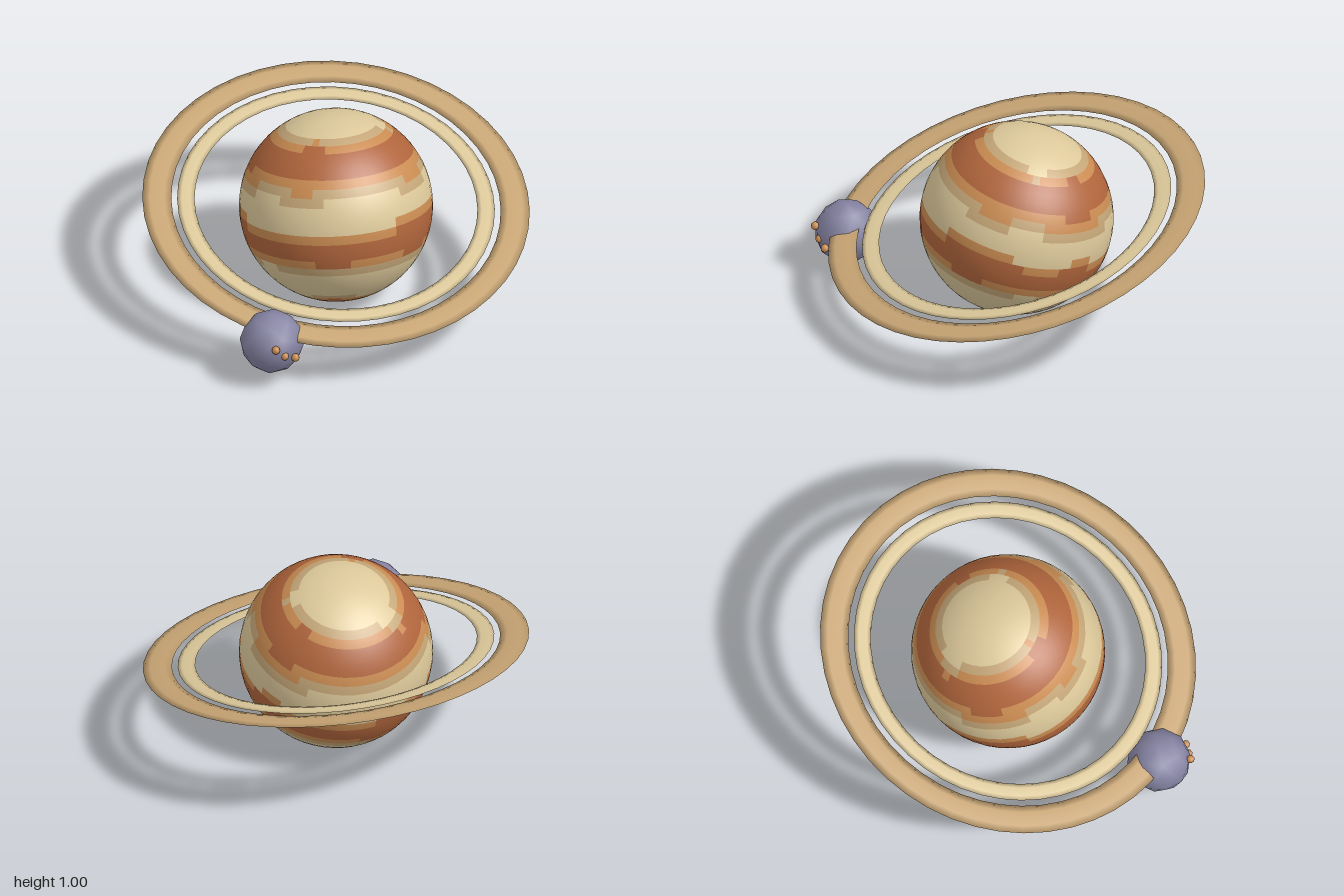
import * as THREE from 'three';

const mat = (name, color) => {
  const m = new THREE.MeshStandardMaterial({ color });
  m.name = name;
  return m;
};

function mesh(name, geometry, material, parent) {
  const m = new THREE.Mesh(geometry, material);
  m.name = name;
  parent.add(m);
  return m;
}

// Cloud belts from north to south: [southern limit in degrees, material index]
const CREAM = 0, TAN = 1, ORANGE = 2, RUST = 3;
const BELTS = [
  [61, CREAM], [56, TAN], [51, ORANGE], [33, RUST], [26, ORANGE], [20, TAN],
  [2.5, CREAM], [-3, ORANGE], [-18, RUST], [-23, ORANGE], [-28, TAN],
  [-54, CREAM], [-57, TAN], [-62, ORANGE], [-91, RUST],
];

// Smooth sphere whose faces are grouped into stepped, wavering belts
function bandedSphere(radius, cols, rows) {
  const g = new THREE.SphereGeometry(radius, cols, rows);
  const idx = g.index.array, uv = g.attributes.uv;
  const buckets = [[], [], [], []];
  for (let i = 0; i < idx.length; i += 3) {
    const tri = [idx[i], idx[i + 1], idx[i + 2]];
    const u = tri.reduce((s, k) => s + uv.getX(k), 0) / 3;
    const v = tri.reduce((s, k) => s + uv.getY(k), 0) / 3;
    const lat = ((Math.floor(v * rows) + 0.5) / rows - 0.5) * 180;
    const lon = ((Math.floor(u * cols) + 0.5) / cols) * Math.PI * 2;
    const phase = Math.round(lat / 25) * 1.7;
    const waver = 1.8 * Math.sin(2 * lon + phase) + 1.5 * Math.sin(5 * lon + 2 * phase);
    const belt = BELTS.find(([limit]) => lat + waver > limit) || BELTS[BELTS.length - 1];
    buckets[belt[1]].push(...tri);
  }
  g.setIndex(buckets.flat());
  g.clearGroups();
  let start = 0;
  buckets.forEach((b, k) => {
    g.addGroup(start, b.length, k);
    start += b.length;
  });
  return g;
}

// Flattened torus lying in the horizontal plane
function flatRing(radius, halfWidth) {
  const g = new THREE.TorusGeometry(radius, halfWidth, 6, 48);
  g.rotateX(Math.PI / 2);
  g.scale(1, 0.1, 1);
  return g;
}

export function createModel() {
  const model = new THREE.Group();
  model.name = 'ringedPlanet';

  const cream = mat('cream', 0xdcc89a);
  const tan = mat('tan', 0xc4a678);
  const orange = mat('orange', 0xca8c52);
  const rust = mat('rust', 0xb0653c);
  const sand = mat('sand', 0xc8a574);
  const slate = mat('slate', 0x8583a2);

  // Planet, its pole leaning back
  const planet = mesh('planet', bandedSphere(0.5, 48, 32), [cream, tan, orange, rust], model);
  planet.position.y = 0.5;
  planet.rotation.set(-0.25, 0, -0.05);

  // Two tilted rings
  const rings = new THREE.Group();
  rings.name = 'rings';
  rings.position.y = 0.503;
  rings.rotation.set(0.25, 0, 0.04);
  model.add(rings);
  mesh('outerRing', flatRing(0.925, 0.075), sand, rings);
  mesh('innerRing', flatRing(0.775, 0.045), cream, rings);

  // Moon with three small bumps on its front
  const moon = new THREE.Group();
  moon.name = 'moon';
  moon.position.set(-0.653, 0.228, 0.65);
  model.add(moon);
  mesh('moonBody', new THREE.IcosahedronGeometry(0.167, 1), slate, moon);
  for (const [x, y] of [[-0.048, 0.05], [0.002, 0], [0.062, -0.024]]) {
    mesh('moonBump', new THREE.SphereGeometry(0.022, 8, 6), orange, moon).position.set(x, y, 0.157);
  }
  return model;
}
